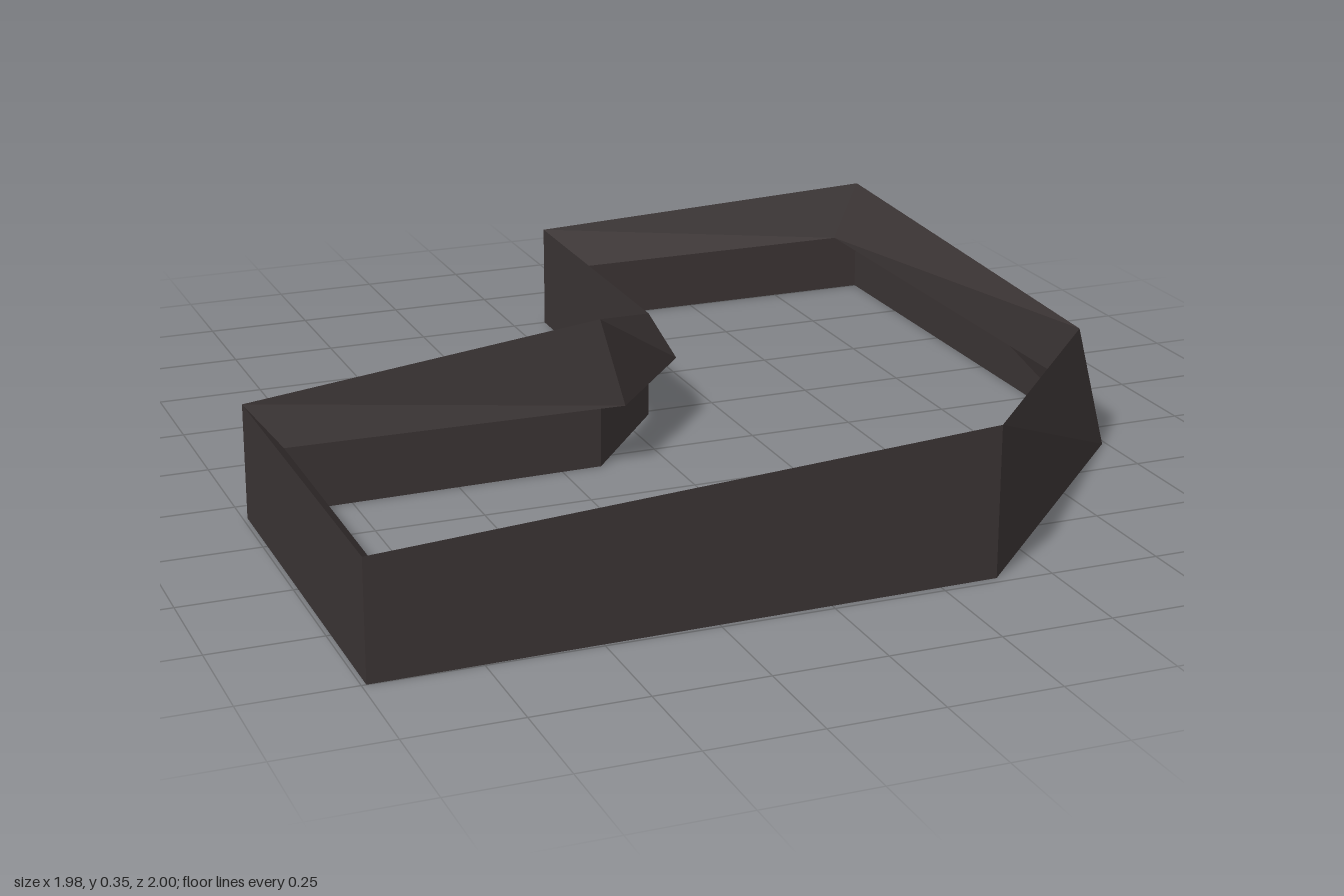
import * as THREE from 'three';

// Corners of the wall, counter-clockwise from above:
// foot [x, z], outer rim [x, y, z], inner lip edge [x, y, z]
const corners = [
  { foot: [-0.99, 1.0], rim: [-0.99, 0.265, 1.0], lip: [-0.91, 0.16, 0.905] },
  { foot: [0.38, 0.98], rim: [0.38, 0.34, 0.98], lip: [0.37, 0.17, 0.895] },
  { foot: [0.99, 0.355], rim: [0.92, 0.29, 0.345], lip: [0.908, 0.155, 0.36] },
  { foot: [0.99, -1.0], rim: [0.99, 0.29, -1.0], lip: [0.9, 0.16, -0.945] },
  { foot: [0.085, -1.0], rim: [0.085, 0.255, -1.0], lip: [0.12, 0.16, -0.945] },
  { foot: [0.077, -0.23], rim: [0.077, 0.255, -0.23], lip: [0.12, 0.16, -0.16] },
  { foot: [-0.155, 0.06], rim: [-0.155, 0.355, 0.06], lip: [-0.11, 0.155, 0.1] },
  { foot: [-0.99, 0.075], rim: [-0.99, 0.265, 0.075], lip: [-0.91, 0.165, 0.11] },
];

// Joins two closed loops of points with a faceted band
function band(lower, upper, flippedSegment) {
  const pos = [];
  const n = lower.length;
  for (let i = 0; i < n; i++) {
    const j = (i + 1) % n;
    const [a, b, c, d] = [lower[i], lower[j], upper[j], upper[i]];
    const tris = i === flippedSegment ? [a, b, c, a, c, d] : [a, b, d, b, c, d];
    tris.forEach((p) => pos.push(...p));
  }
  const g = new THREE.BufferGeometry();
  g.setAttribute('position', new THREE.Float32BufferAttribute(pos, 3));
  g.computeVertexNormals();
  return g;
}

export function createModel() {
  const group = new THREE.Group();
  group.name = 'wallRing';
  const material = new THREE.MeshStandardMaterial({
    color: 0x3b3434, flatShading: true, side: THREE.DoubleSide,
  });
  material.name = 'dark brown';

  const foot = corners.map(({ foot: [x, z] }) => [x, 0, z]);
  const rim = corners.map((c) => c.rim);
  const lip = corners.map((c) => c.lip);

  // Upright outer wall, open underneath
  const outerWall = new THREE.Mesh(band(foot, rim, 2), material);
  outerWall.name = 'outerWall';

  // Lip sloping inward and down from the rim
  const innerLip = new THREE.Mesh(band(rim, lip, 2), material);
  innerLip.name = 'innerLip';

  group.add(outerWall, innerLip);
  return group;
}
